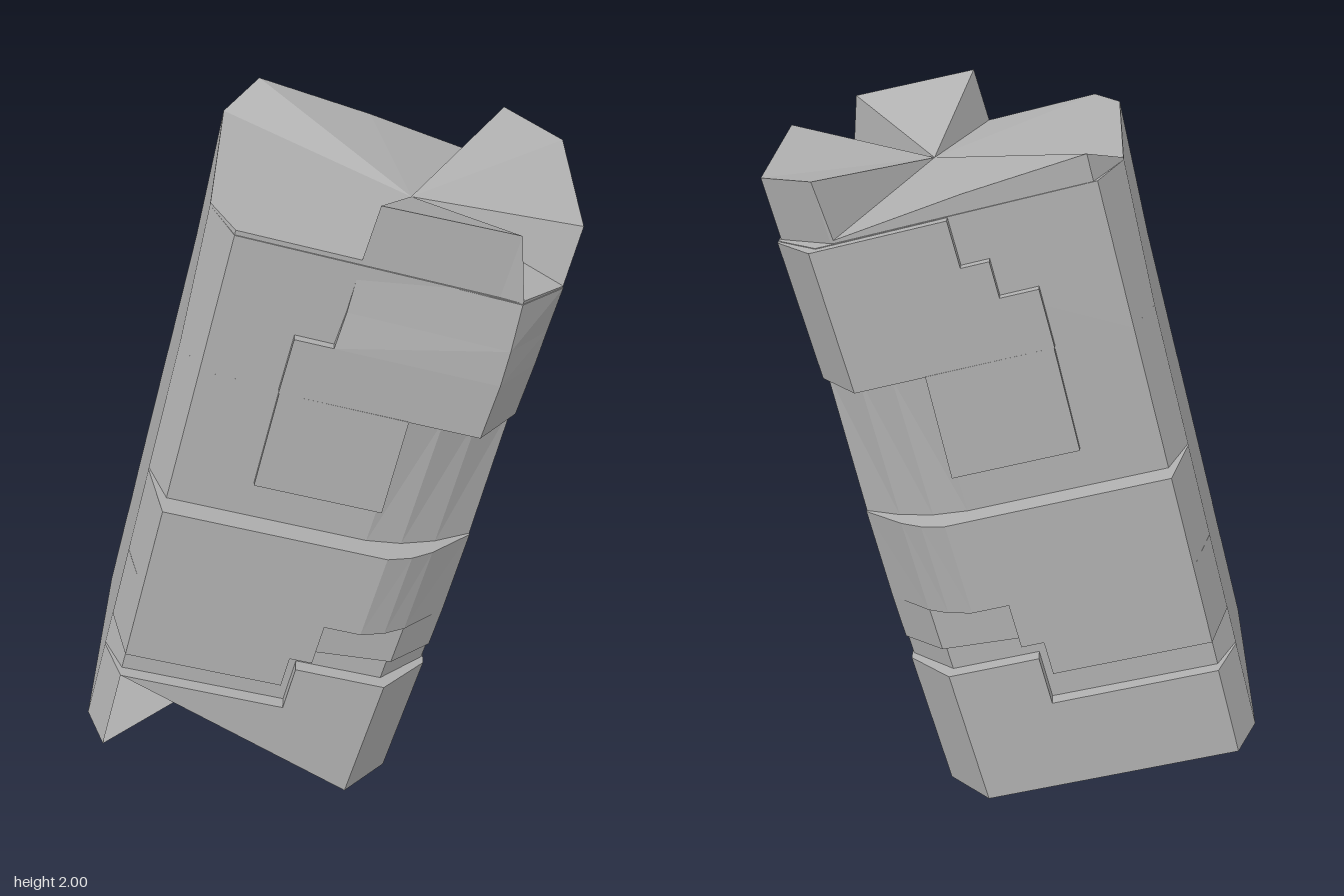
import * as THREE from 'three';

const grey = new THREE.MeshStandardMaterial({ color: 0xb0b0b0, side: THREE.DoubleSide });
grey.name = 'stone grey';

// Flat-shaded mesh from a list of triangle corners [u, v, z]
function facets(name, corners) {
  const geo = new THREE.BufferGeometry();
  geo.setAttribute('position', new THREE.Float32BufferAttribute(corners.flat(), 3));
  geo.computeVertexNormals();
  const mesh = new THREE.Mesh(geo, grey);
  mesh.name = name;
  return mesh;
}

const quad = (a, b, c, d) => [a, b, c, a, c, d];

// Half slab: outline of [u, z] from the left edge round the front to the right edge,
// closed along z = 0, with an optional different outline on top
function halfSlab(name, v0, v1, outline, topOutline = outline) {
  const close = (o) => [[o[0][0], 0], ...o, [o[o.length - 1][0], 0]];
  const low = close(outline), high = close(topOutline), tris = [];
  const at = (p, v) => [p[0], v, p[1]];
  for (let i = 0; i < low.length - 1; i++) {
    tris.push(...quad(at(low[i], v0), at(low[i + 1], v0), at(high[i + 1], v1), at(high[i], v1)));
  }
  const cap = (o) => THREE.ShapeUtils.triangulateShape(o.map((p) => new THREE.Vector2(p[0], -p[1])), []);
  for (const [a, b, c] of cap(high)) tris.push(at(high[a], v1), at(high[b], v1), at(high[c], v1));
  for (const [a, b, c] of cap(low)) tris.push(at(low[c], v0), at(low[b], v0), at(low[a], v0));
  return facets(name, tris);
}

// Foot: hollow and eight-sided, with a torn triangle in the front wall and in the floor
function makeFoot() {
  const ring = [[0, .32], [.06, .44], [.81, .44], [.935, .295], [.935, -.295], [.81, -.44], [.06, -.44], [0, -.32]];
  const at = (i, v) => [ring[i % 8][0], v, ring[i % 8][1]];
  const top = .285, floorCentre = [.457, .03, 0], tris = [];
  for (let i = 0; i < 8; i++) {
    if (i === 1) {
      tris.push(at(2, 0), at(2, top), at(1, top));
    } else {
      tris.push(...quad(at(i, 0), at(i + 1, 0), at(i + 1, top), at(i, top)));
      tris.push(floorCentre, at(i + 1, 0), at(i, 0));
    }
    tris.push([.47, top, 0], at(i, top), at(i + 1, top));
  }
  return facets('brokenFoot', tris);
}

// Crown: jagged rim rising to different heights around a central point
function makeCrown() {
  const base = 1.75, centre = [.51, 1.79, .04];
  const rim = [
    [-.01, 1.758, .28], [.06, 1.765, .405], [.38, 1.765, .405], [.385, 1.92, .405], [.74, 1.93, .405], [.8, 1.76, .41],
    [.92, 1.755, .27], [.917, 1.925, .258], [.917, 1.925, -.258], [.76, 1.92, -.4],
    [.75, 1.76, -.405], [.4, 1.8, -.405], [.07, 1.825, -.405], [-.01, 1.758, -.28],
  ];
  const tris = [];
  rim.forEach((a, i) => {
    const b = rim[(i + 1) % rim.length];
    tris.push(centre, a, b, ...quad([a[0], base, a[2]], [b[0], base, b[2]], b, a));
  });
  return facets('jaggedCrown', tris);
}

// All slabs of one half; only the top of the raised panel differs front to back
function makeHalf(name, front) {
  const half = new THREE.Group();
  half.name = name;
  const add = (...args) => half.add(halfSlab(...args));

  // Groove floor and the raised step beside it
  add('grooveCore', .28, .52, [[0, .31], [.06, .405], [.8, .4], [.93, .27]]);
  add('lowerStep', .28, .44, [[.545, .44], [.81, .44], [.935, .295]]);

  // Wide middle band with its lower lip and tapering notch
  add('bandLip', .41, .516, [[0, .322], [.055, .485], [.51, .485]]);
  add('bandLeft', .516, .655, [[0, .322], [.055, .485], [.575, .485]]);
  add('bandNotch', .516, .655, [[.575, .435], [.81, .41], [.93, .295]]);
  add('band', .655, .935, [[0, .32], [.055, .485], [.68, .485], [.75, .458], [.81, .418], [.93, .295]],
    [[0, .31], [.055, .485], [.68, .485], [.75, .455], [.81, .41], [.925, .29]]);

  // Waist with scooped right corner
  add('waist', .93, 1.352, [[0, .3], [.06, .42], [.62, .42], [.72, .4], [.82, .355], [.924, .285]],
    [[0, .295], [.06, .415], [.62, .415], [.72, .38], [.82, .32], [.92, .235]]);
  add('waistPanel', 1.048, 1.352, [[.277, .436], [.632, .436]], [[.272, .436], [.62, .436]]);

  // Upper block and stepped raised panel
  add('upperBlock', 1.35, 1.752, [[0, .295], [.06, .415], [.81, .415], [.92, .265]],
    [[-.01, .28], [.06, .408], [.8, .41], [.92, .27]]);
  const panelEnd = [[.815, .434], [.925, .275]];
  const fadeStart = [[.38, .42], [.81, .428], [.923, .273]];
  const fadeEnd = [[.38, .405], [.8, .413], [.922, .271]];
  add('upperPanel', 1.35, 1.518, [[.27, .436], ...panelEnd]);
  add('upperPanelStep', 1.518, 1.62, [[.374, .436], ...panelEnd], front ? fadeStart : [[.374, .436], ...panelEnd]);
  add('upperPanelTop', 1.62, 1.75, front ? fadeStart : [[.45, .436], ...panelEnd],
    front ? fadeEnd : [[.45, .436], ...panelEnd]);

  if (!front) half.scale.z = -1;
  return half;
}

export function createModel() {
  const model = new THREE.Group();
  model.name = 'leaningBlock';
  // The whole column leans towards its left
  const column = new THREE.Group();
  column.name = 'leaningColumn';
  column.add(makeFoot(), makeHalf('frontHalf', true), makeHalf('backHalf', false), makeCrown());
  column.rotation.z = -THREE.MathUtils.degToRad(14.5);
  column.position.set(-.69, .235, 0);
  model.add(column);
  return model;
}
